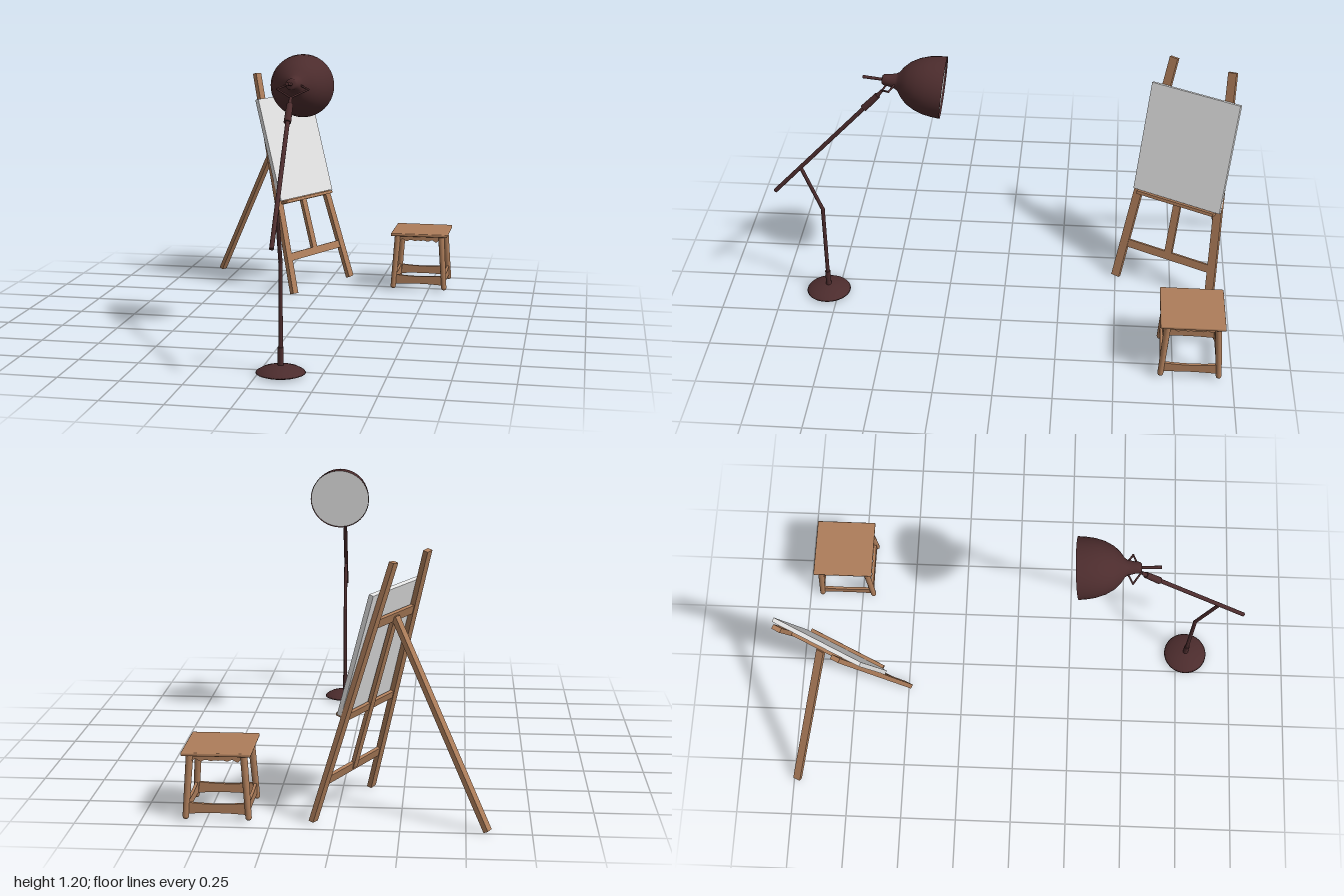
import * as THREE from 'three';
import { RoundedBoxGeometry } from 'three/addons/geometries/RoundedBoxGeometry.js';

const mat = (name, color, side = THREE.FrontSide) => {
  const m = new THREE.MeshStandardMaterial({ color, side });
  m.name = name;
  return m;
};
const V = (x, y, z) => new THREE.Vector3(x, y, z);
const UP = V(0, 1, 0);

function add(parent, name, geometry, material, x = 0, y = 0, z = 0) {
  const mesh = new THREE.Mesh(geometry, material);
  mesh.name = name;
  mesh.position.set(x, y, z);
  parent.add(mesh);
  return mesh;
}

// Place a y-aligned geometry of the right length between two points
function span(parent, name, a, b, makeGeometry, material) {
  const d = b.clone().sub(a);
  const mesh = add(parent, name, makeGeometry(d.length()), material);
  mesh.position.copy(a).add(b).multiplyScalar(0.5);
  mesh.quaternion.setFromUnitVectors(UP, d.normalize());
  return mesh;
}
const rod = (p, name, a, b, rA, rB, m, sides = 16) =>
  span(p, name, a, b, (l) => new THREE.CylinderGeometry(rB, rA, l, sides), m);
const beam = (p, name, a, b, w, d, m) =>
  span(p, name, a, b, (l) => new THREE.BoxGeometry(w, l, d), m);

const lathe = (pts) => new THREE.LatheGeometry(pts.map(([r, y]) => new THREE.Vector2(r, y)), 40);

function makeLamp(metal, white) {
  const lamp = new THREE.Group();
  lamp.name = 'floorLamp';
  const X = 0.09, Z = 0.795;

  // Domed foot and bent pole
  add(lamp, 'lampBase', lathe([[0, 0.004], [0.085, 0.004], [0.098, 0.009], [0.094, 0.014],
    [0.075, 0.025], [0.045, 0.034], [0.015, 0.039], [0, 0.039]]), metal, X, 0, Z);
  rod(lamp, 'poleCollar', V(X, 0.03, Z), V(X, 0.11, Z), 0.012, 0.012, metal);
  const bend = V(X, 0.447, Z), pivot = V(X + 0.003, 0.665, 0.877);
  rod(lamp, 'pole', V(X, 0.1, Z), bend, 0.0085, 0.0085, metal);
  add(lamp, 'poleElbow', new THREE.SphereGeometry(0.009, 16, 10), metal, ...bend.toArray());
  rod(lamp, 'upperPole', bend, pivot, 0.008, 0.008, metal);

  // Long swinging arm with a thick socket at its head
  const head = V(0.073, 1.025, 0.528);
  rod(lamp, 'arm', V(0.098, 0.54, 0.996), head, 0.009, 0.009, metal);
  rod(lamp, 'armSocket', V(0.0755, 0.962, 0.589), head, 0.015, 0.013, metal);

  // Diamond wire yoke joining arm and shade
  const tip = V(0.073, 1.05, 0.508);
  rod(lamp, 'yokeStem', head, tip, 0.009, 0.006, metal);
  for (const s of [-1, 1]) {
    const corner = V(0.073 + s * 0.063, 1.08, 0.472);
    rod(lamp, 'yokeOuterWire', tip, corner, 0.004, 0.004, metal, 8);
    rod(lamp, 'yokeInnerWire', corner, V(0.073 + s * 0.015, 1.1, 0.442), 0.004, 0.004, metal, 8);
    add(lamp, 'yokeCorner', new THREE.SphereGeometry(0.005, 10, 8), metal, ...corner.toArray());
  }

  // Bell shade, built along its own axis from rim to neck
  const shade = new THREE.Group();
  shade.name = 'shade';
  shade.position.set(0.073, 1.073, 0.25);
  shade.quaternion.setFromUnitVectors(UP, V(0, 0.117, 0.993).normalize());
  lamp.add(shade);
  const shell = mat('lampMetalShell', metal.color.getHex(), THREE.DoubleSide);
  add(shade, 'shadeBell', lathe([[0.13, 0], [0.128, 0.03], [0.122, 0.07], [0.109, 0.11],
    [0.088, 0.147], [0.062, 0.173], [0.04, 0.188], [0.032, 0.2], [0.025, 0.23],
    [0.023, 0.25], [0.017, 0.257], [0, 0.258]]), shell);
  const disc = add(shade, 'lightDisc', new THREE.CircleGeometry(0.128, 40), white, 0, 0.008, 0);
  disc.rotation.x = Math.PI / 2;
  rod(shade, 'shadeHandle', V(0, 0.25, 0), V(0, 0.338, 0), 0.006, 0.007, metal);
  return lamp;
}

function makeEasel(wood, white) {
  const easel = new THREE.Group();
  easel.name = 'easel';
  easel.position.set(-0.013, 0, -0.71);
  easel.rotation.y = 1.12;

  // Leaning front frame
  const frame = new THREE.Group();
  frame.name = 'easelFrame';
  frame.rotation.x = -Math.atan(0.287);
  easel.add(frame);
  for (const s of [-1, 1])
    beam(frame, 'frontLeg', V(s * 0.23, 0.005, 0), V(s * 0.137, 1.072, 0), 0.038, 0.02, wood);
  add(frame, 'lowerCrossbar', new THREE.BoxGeometry(0.4, 0.036, 0.014), wood, 0, 0.177, 0);
  add(frame, 'middleCrossbar', new THREE.BoxGeometry(0.36, 0.03, 0.014), wood, 0, 0.445, 0);
  add(frame, 'upperCrossbar', new THREE.BoxGeometry(0.31, 0.036, 0.014), wood, 0, 0.825, 0);
  add(frame, 'centrePost', new THREE.BoxGeometry(0.034, 0.66, 0.016), wood, 0, 0.5, -0.002);
  add(frame, 'canvasLedge', new THREE.BoxGeometry(0.37, 0.014, 0.045), wood, 0, 0.439, 0.022);
  add(frame, 'canvas', new THREE.BoxGeometry(0.416, 0.497, 0.019), white, 0, 0.697, 0.02);

  // Rear prop
  beam(easel, 'rearLeg', V(0, 0.006, -0.632), V(0, 0.79, -0.232), 0.034, 0.02, wood);
  return easel;
}

function makeStool(wood) {
  const stool = new THREE.Group();
  stool.name = 'stool';
  stool.position.set(0.455, 0, -0.82);
  add(stool, 'seat', new RoundedBoxGeometry(0.27, 0.014, 0.27, 3, 0.005), wood, 0, 0.272, 0);

  // Splayed legs with rounded feet
  for (const sx of [-1, 1]) for (const sz of [-1, 1]) {
    const foot = V(sx * 0.122, 0.02, sz * 0.122);
    rod(stool, 'leg', foot, V(sx * 0.104, 0.267, sz * 0.104), 0.0125, 0.0145, wood, 12);
    add(stool, 'foot', new THREE.SphereGeometry(0.0125, 12, 8), wood, ...foot.toArray());
  }

  // Scalloped apron board
  const apron = new THREE.Shape();
  apron.moveTo(-0.1, 0.266);
  apron.lineTo(-0.1, 0.236);
  for (let i = 1; i <= 48; i++) {
    const t = i / 48;
    apron.lineTo(-0.1 + 0.2 * t, 0.243 - 0.007 * Math.cos(t * Math.PI * 10) * (1 - 2 * t));
  }
  apron.lineTo(0.1, 0.266);

  // Stretcher board with dipped top and arched underside
  const stretcher = new THREE.Shape();
  stretcher.moveTo(-0.117, 0.03);
  stretcher.quadraticCurveTo(0, 0.04, 0.117, 0.03);
  stretcher.lineTo(0.115, 0.077);
  stretcher.quadraticCurveTo(0, 0.063, -0.115, 0.077);

  const board = (shape) => new THREE.ExtrudeGeometry(shape,
    { depth: 0.012, bevelEnabled: false, curveSegments: 12 });
  for (let i = 0; i < 4; i++) {
    const side = new THREE.Group();
    side.name = 'stoolSide';
    side.rotation.y = i * Math.PI / 2;
    add(side, 'apron', board(apron), wood, 0, 0, 0.1);
    add(side, 'stretcher', board(stretcher), wood, 0, 0, 0.112);
    stool.add(side);
  }
  return stool;
}

export function createModel() {
  const metal = mat('lampMetal', 0x4c2c2d);
  const wood = mat('wood', 0xad7d5a);
  const white = mat('canvasWhite', 0xe4e4e4);
  const model = new THREE.Group();
  model.name = 'artStudioSet';
  model.add(makeLamp(metal, white), makeEasel(wood, white), makeStool(wood));
  return model;
}
